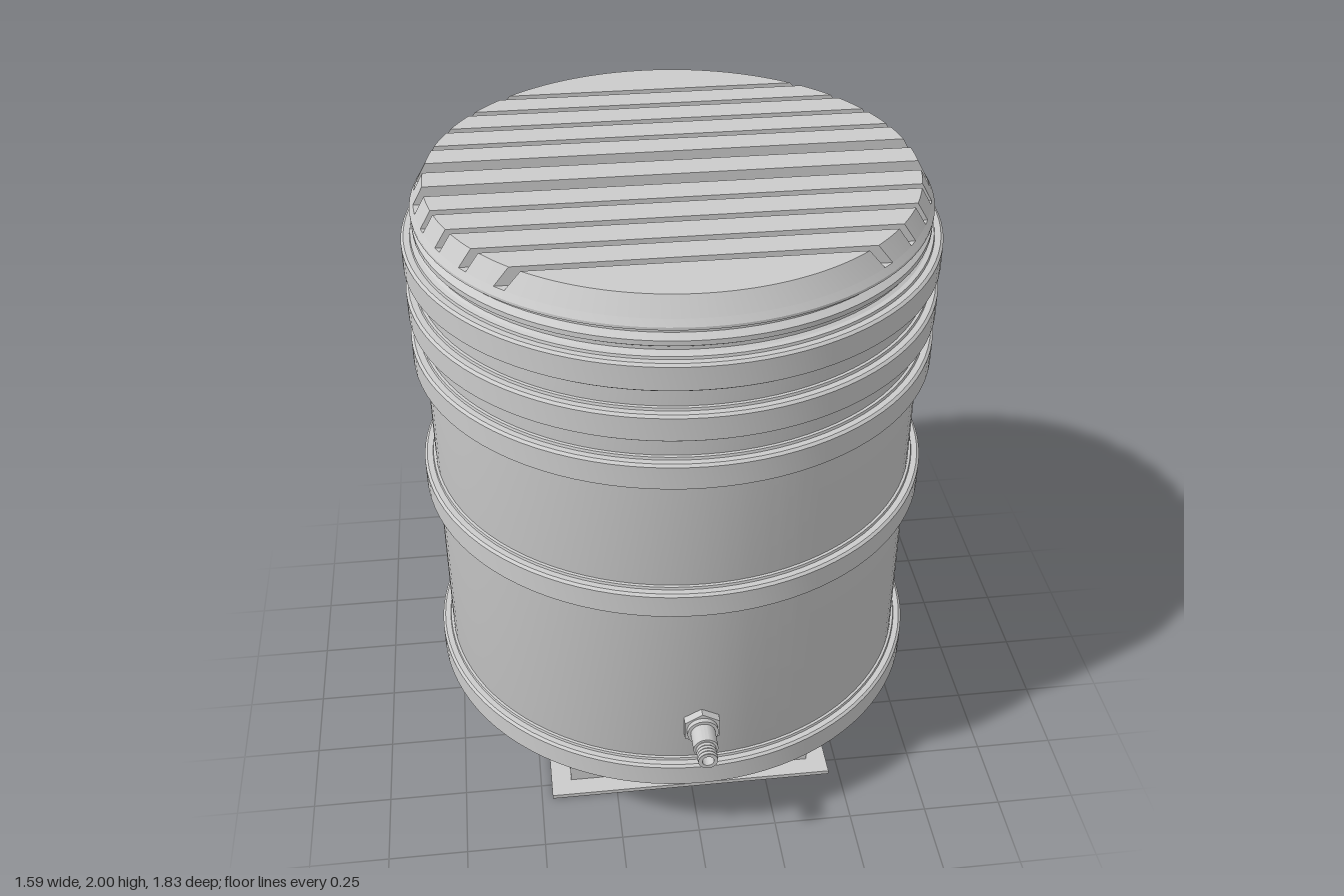
import * as THREE from 'three';
import { toCreasedNormals } from 'three/addons/utils/BufferGeometryUtils.js';

const mat = new THREE.MeshStandardMaterial({ color: 0xcccccc, side: THREE.DoubleSide });

function add(parent, name, geometry, x = 0, y = 0, z = 0) {
  const mesh = new THREE.Mesh(geometry, mat);
  mesh.name = name;
  mesh.position.set(x, y, z);
  parent.add(mesh);
  return mesh;
}

function lathe(points, segments = 96) {
  const profile = points.map(([r, y]) => new THREE.Vector2(r, y));
  return toCreasedNormals(new THREE.LatheGeometry(profile, segments), 0.5);
}

// One slat of the lid: a slice of a tapered disc between two z positions
function slatGeometry(z0, z1) {
  const steps = 20, pos = [], idx = [];
  const ring = (R, t) => {
    const a = Math.asin(Math.max(-1, z0 / R)), b = Math.asin(Math.min(1, z1 / R));
    const angle = a + (b - a) * t;
    return [R * Math.cos(angle), R * Math.sin(angle)];
  };
  for (let i = 0; i <= steps; i++) {
    const [xb, zb] = ring(0.75, i / steps);
    const [xt, zt] = ring(0.72, i / steps);
    pos.push(-xb, 1.945, zb, xb, 1.945, zb, xt, 2, zt, -xt, 2, zt);
    if (i === steps) break;
    for (let k = 0; k < 4; k++) {
      const a = i * 4 + k, b = i * 4 + (k + 1) % 4;
      idx.push(a, b, b + 4, a, b + 4, a + 4);
    }
  }
  const e = steps * 4;
  idx.push(0, 2, 1, 0, 3, 2, e, e + 1, e + 2, e, e + 2, e + 3);
  const g = new THREE.BufferGeometry();
  g.setAttribute('position', new THREE.Float32BufferAttribute(pos, 3));
  g.setIndex(idx);
  return toCreasedNormals(g, 0.5);
}

// Threaded nozzle with a hex nut, pointing along +z
function nozzle(name) {
  const g = new THREE.Group();
  g.name = name;
  const along = (part, r, z0, z1, sides) => {
    const geo = toCreasedNormals(new THREE.CylinderGeometry(r, r, z1 - z0, sides), 0.5);
    add(g, part, geo.rotateX(Math.PI / 2), 0, 0, (z0 + z1) / 2);
  };
  along('nozzleNut', 0.062, 0.75, 0.785, 6);
  along('nozzleCollar', 0.048, 0.785, 0.8, 24);
  along('nozzleSleeve', 0.038, 0.8, 0.865, 24);
  const thread = [[0.02, 0.86], [0.028, 0.86]];
  for (let z = 0.868; z < 0.91; z += 0.012) thread.push([0.031, z], [0.027, z + 0.006]);
  thread.push([0.03, 0.915], [0.018, 0.915], [0.018, 0.865], [0, 0.865]);
  add(g, 'nozzleThread', lathe(thread, 24).rotateX(Math.PI / 2));
  return g;
}

export function createModel() {
  const model = new THREE.Group();
  model.name = 'tank';

  // Tank shell: dished bottom, straight wall and recessed neck
  add(model, 'shell', lathe([
    [0.36, 0.1], [0.45, 0.115], [0.56, 0.14], [0.65, 0.165], [0.71, 0.195],
    [0.745, 0.23], [0.76, 0.27], [0.76, 1.84], [0.745, 1.85], [0.745, 1.86], [0.76, 1.87],
    [0.76, 1.885], [0.742, 1.9], [0.742, 1.915],
  ]));

  // Raised hoops
  for (const y of [0.27, 0.97, 1.43, 1.59, 1.75]) {
    add(model, 'hoop', lathe([
      [0.755, y - 0.01], [0.768, y - 0.008], [0.77, y], [0.788, y], [0.796, y + 0.006],
      [0.796, y + 0.078], [0.788, y + 0.085], [0.77, y + 0.085], [0.768, y + 0.093], [0.755, y + 0.095],
    ]));
  }

  // Lid base and slats separated by straight grooves
  const lid = new THREE.Group();
  lid.name = 'lid';
  model.add(lid);
  add(lid, 'lidBase', lathe([[0, 1.9], [0.74, 1.91], [0.762, 1.918], [0.762, 1.926], [0.75, 1.945], [0, 1.945]]));
  const grooves = [
    [-0.55, 0.026], [-0.44, 0.026], [-0.325, 0.026], [-0.21, 0.026], [-0.08, 0.06],
    [0.07, 0.06], [0.2, 0.026], [0.315, 0.026], [0.43, 0.026], [0.54, 0.026],
  ];
  let start = -0.75;
  for (const [z, width] of [...grooves, [0.75, 0]]) {
    add(lid, 'slat', slatGeometry(start, z - width / 2));
    start = z + width / 2;
  }

  // Lower front outlet and upper rear inlet
  const outlet = nozzle('frontNozzle');
  outlet.position.y = 0.5;
  const inlet = nozzle('rearNozzle');
  inlet.position.y = 1.51;
  inlet.rotation.y = Math.PI;
  model.add(outlet, inlet);

  // Base frame: open floor flange and four walls
  const base = new THREE.Group();
  base.name = 'base';
  model.add(base);
  const plate = new THREE.Shape();
  plate.moveTo(-0.465, -0.56).lineTo(0.465, -0.56).lineTo(0.465, 0.56).lineTo(-0.465, 0.56).closePath();
  const opening = new THREE.Path();
  opening.moveTo(-0.37, -0.46).lineTo(-0.37, 0.46).lineTo(0.37, 0.46).lineTo(0.37, -0.46).closePath();
  plate.holes.push(opening);
  const flange = new THREE.ExtrudeGeometry(plate, { depth: 0.014, bevelEnabled: false });
  add(base, 'flange', flange.rotateX(-Math.PI / 2));
  for (const s of [-1, 1]) {
    add(base, 'sideWall', new THREE.BoxGeometry(0.015, 0.13, 0.99), s * 0.392, 0.079, 0);
    add(base, 'endWall', new THREE.BoxGeometry(0.8, 0.13, 0.015), 0, 0.079, s * 0.49);
  }
  add(base, 'rearBracket', new THREE.BoxGeometry(0.7, 0.05, 0.02), 0, 0.04, -0.507);

  // Bolts on the front wall
  for (const x of [-0.33, -0.23, -0.15, 0.15, 0.23, 0.34]) {
    const r = x > 0.3 ? 0.016 : 0.009;
    add(base, 'bolt', new THREE.CylinderGeometry(r, r, 0.02, 12).rotateX(Math.PI / 2), x, 0.065, 0.502);
  }

  // Well in the tank floor with pipes on flared feet
  add(model, 'well', lathe([[0.36, 0.1], [0.35, 0.12], [0.35, 0.55], [0, 0.55]], 48));
  for (const x of [-0.17, 0.17]) {
    for (const z of [-0.17, 0.17]) {
      add(model, 'innerPipe', lathe([
        [0, 0.05], [0.07, 0.05], [0.07, 0.07], [0.03, 0.09], [0.024, 0.11], [0.024, 0.55],
      ], 20), x, 0, z);
    }
  }
  // Cross rails carrying the pipe feet
  for (const z of [-0.17, 0.17]) {
    add(base, 'crossRail', new THREE.BoxGeometry(0.78, 0.02, 0.06), 0, 0.04, z);
  }
  return model;
}
